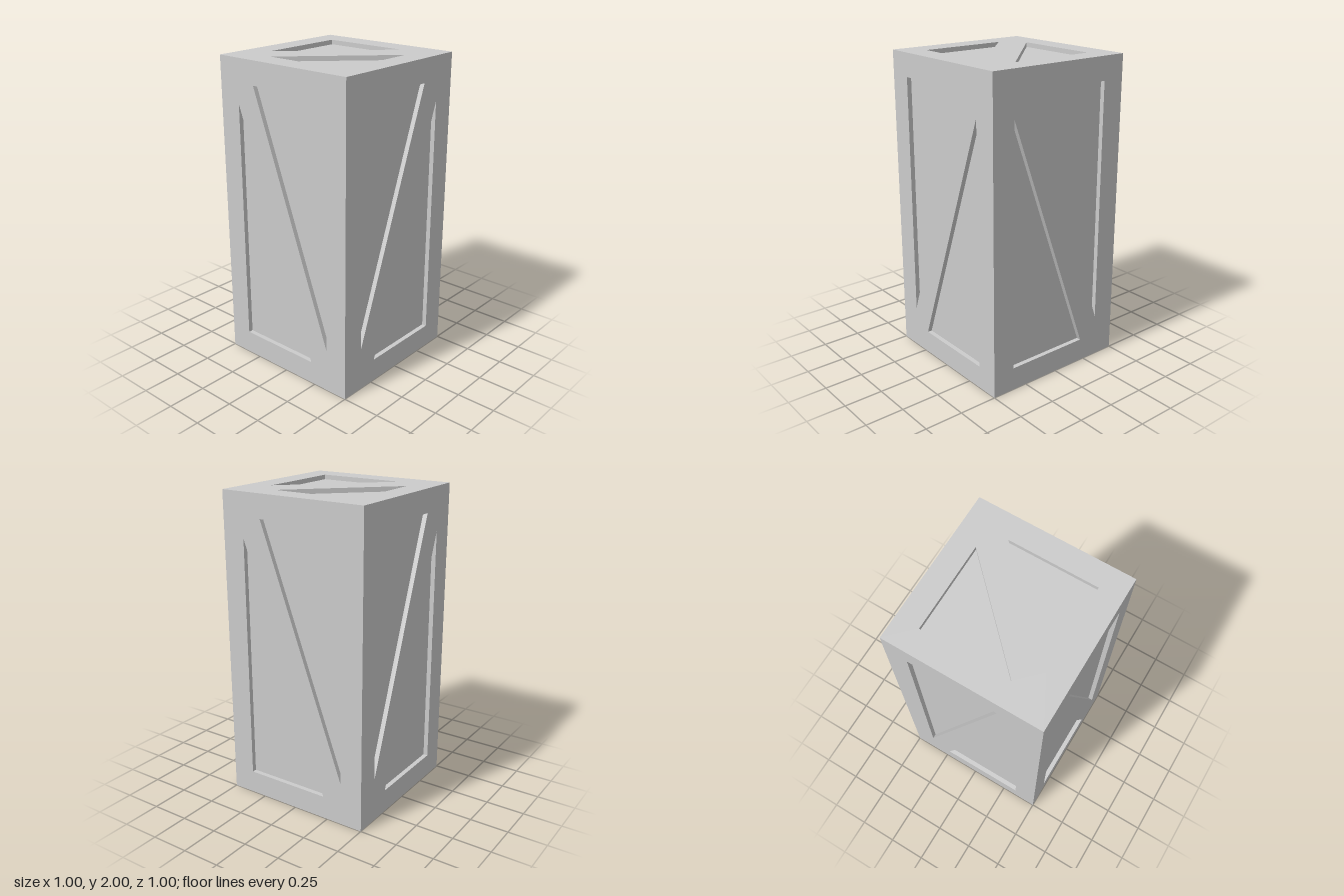
import * as THREE from 'three';

const MARGIN = 0.15; // frame width
const GAP = 0.13;    // shortening of each triangle that leaves the diagonal brace
const DEPTH = 0.03;  // recess depth

// The two triangular recesses of a w x h side, counter-clockwise
function recessOutlines(w, h, flip) {
  const a = w / 2 - MARGIN, b = h / 2 - MARGIN;
  const upper = [[-a, b], [-a, -b + GAP], [a - GAP, b]];
  const lower = upper.map(([x, y]) => [-x, -y]);
  return [upper, lower].map((tri) => {
    const pts = tri.map(([x, y]) => new THREE.Vector2(flip ? -x : x, y));
    return flip ? pts.reverse() : pts;
  });
}

// Walls running from the outer surface down to the recess floor
function recessWalls(pts) {
  const pos = [];
  pts.forEach((p, i) => {
    const q = pts[(i + 1) % pts.length];
    pos.push(p.x, p.y, 0, q.x, q.y, 0, q.x, q.y, -DEPTH);
    pos.push(p.x, p.y, 0, q.x, q.y, -DEPTH, p.x, p.y, -DEPTH);
  });
  const geo = new THREE.BufferGeometry();
  geo.setAttribute('position', new THREE.Float32BufferAttribute(pos, 3));
  geo.computeVertexNormals();
  return geo;
}

// One side of the crate, facing +z: frame with brace, recess walls and panels
function createSide(name, w, h, flip, material) {
  const side = new THREE.Group();
  side.name = name;
  const add = (part, geo, z = 0) => {
    const mesh = new THREE.Mesh(geo, material);
    mesh.name = part;
    mesh.position.z = z;
    side.add(mesh);
  };
  const outlines = recessOutlines(w, h, flip);
  const frame = new THREE.Shape([
    new THREE.Vector2(-w / 2, -h / 2), new THREE.Vector2(w / 2, -h / 2),
    new THREE.Vector2(w / 2, h / 2), new THREE.Vector2(-w / 2, h / 2),
  ]);
  frame.holes = outlines.map((pts) => new THREE.Path(pts));
  add('bracedFrame', new THREE.ShapeGeometry(frame));
  for (const pts of outlines) {
    add('recessWalls', recessWalls(pts));
    add('recessPanel', new THREE.ShapeGeometry(new THREE.Shape(pts)), -DEPTH);
  }
  return side;
}

export function createModel() {
  const model = new THREE.Group();
  model.name = 'crate';
  const material = new THREE.MeshStandardMaterial({ color: 0xcccccc, flatShading: true });

  // Four upright sides; the brace direction alternates around the crate
  ['frontSide', 'leftSide', 'backSide', 'rightSide'].forEach((name, i) => {
    const side = createSide(name, 1, 2, i % 2 === 1, material);
    const angle = (i * Math.PI) / 2;
    side.rotation.y = angle;
    side.position.set(Math.sin(angle) / 2, 1, Math.cos(angle) / 2);
    model.add(side);
  });

  // Square lid and base
  for (const [name, y, tilt] of [['lid', 2, -1], ['base', 0, 1]]) {
    const side = createSide(name, 1, 1, true, material);
    side.rotation.x = (tilt * Math.PI) / 2;
    side.position.y = y;
    model.add(side);
  }
  return model;
}
